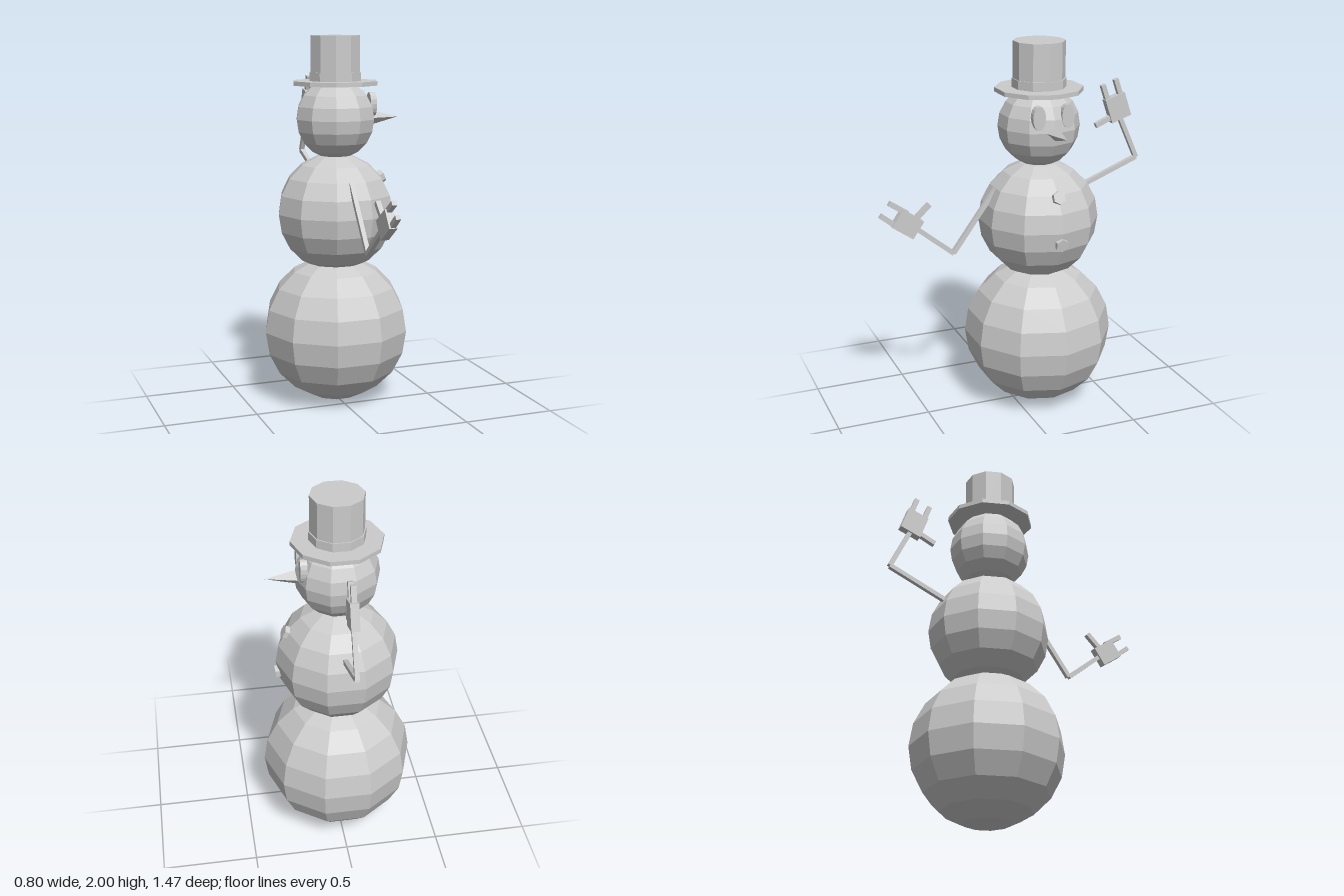
import * as THREE from 'three';

const BODY_Z = -0.145; // the body stands off-centre because the arms reach unevenly

export function createModel() {
  const root = new THREE.Group();
  root.name = 'snowman';
  const material = new THREE.MeshStandardMaterial({ color: 0xcccccc, flatShading: true });

  const add = (name, geometry, x, y, z, parent = root) => {
    const mesh = new THREE.Mesh(geometry, material);
    mesh.name = name;
    mesh.position.set(x, y, z);
    parent.add(mesh);
    return mesh;
  };

  // Snowballs
  add('lowerBody', new THREE.SphereGeometry(0.402, 10, 10), 0, 0.402, BODY_Z);
  add('upperBody', new THREE.SphereGeometry(0.322, 10, 10), 0, 1.05, BODY_Z);
  add('head', new THREE.SphereGeometry(0.217, 10, 10), 0, 1.557, BODY_Z);

  // Top hat: brim, band and crown
  const hatRing = (name, rTop, rBottom, y0, y1) =>
    add(name, new THREE.CylinderGeometry(rTop, rBottom, y1 - y0, 10).rotateY(Math.PI / 2), 0, (y0 + y1) / 2, BODY_Z);
  hatRing('hatBrim', 0.233, 0.233, 1.737, 1.76);
  hatRing('hatBand', 0.143, 0.143, 1.76, 1.806);
  hatRing('hatCrown', 0.137, 0.137, 1.76, 2);

  // Carrot nose pointing to +x
  add('nose', new THREE.ConeGeometry(0.043, 0.17, 4).rotateZ(-Math.PI / 2), 0.277, 1.557, BODY_Z);

  // Flat oval eyes
  for (const [name, side] of [['leftEye', -1], ['rightEye', 1]]) {
    const eye = new THREE.CylinderGeometry(1, 1, 0.035, 16).rotateZ(-Math.PI / 2).scale(1, 0.063, 0.035);
    add(name, eye, 0.18, 1.637, BODY_Z + side * 0.08);
  }

  // Hexagonal buttons lying on the chest
  for (const [name, x, y, tilt] of [['upperButton', 0.265, 1.23, 0.45], ['lowerButton', 0.31, 0.99, -0.16]]) {
    const button = new THREE.CylinderGeometry(0.036, 0.036, 0.03, 6).rotateY(Math.PI / 6).rotateZ(-Math.PI / 2);
    add(name, button, x, y, BODY_Z).rotation.z = tilt;
  }

  // Square bar between two [z, y] points in the plane x = 0
  const bar = (parent, name, a, b, width, thickness) => {
    const dz = b[0] - a[0], dy = b[1] - a[1];
    const geometry = new THREE.BoxGeometry(thickness, Math.hypot(dz, dy), width);
    const mesh = add(name, geometry, 0, (a[1] + b[1]) / 2, (a[0] + b[0]) / 2, parent);
    mesh.rotation.x = Math.atan2(dz, dy);
  };

  // Stick arms with block hands, two fingers and a thumb
  const arms = [
    {
      name: 'rightArm', shoulder: [0.1, 1.235], elbow: [0.34, 0.907], wrist: [0.532, 1.063], palmEnd: [0.643, 1.14],
      palmWidth: 0.107,
      fingers: [[[0.63, 1.083], [0.728, 1.161]], [[0.585, 1.157], [0.68, 1.222]]],
      thumb: [[0.56, 1.105], [0.466, 1.193]],
    },
    {
      name: 'leftArm', shoulder: [-0.37, 1.186], elbow: [-0.723, 1.325], wrist: [-0.622, 1.548], palmEnd: [-0.579, 1.675],
      palmWidth: 0.118,
      fingers: [[[-0.549, 1.635], [-0.513, 1.738]], [[-0.623, 1.66], [-0.587, 1.765]]],
      thumb: [[-0.58, 1.566], [-0.476, 1.521]],
    },
  ];
  for (const arm of arms) {
    const group = new THREE.Group();
    group.name = arm.name;
    root.add(group);
    bar(group, 'upperArm', arm.shoulder, arm.elbow, 0.024, 0.024);
    bar(group, 'forearm', arm.elbow, arm.wrist, 0.024, 0.024);
    bar(group, 'palm', arm.wrist, arm.palmEnd, arm.palmWidth, 0.043);
    arm.fingers.forEach(([a, b]) => bar(group, 'finger', a, b, 0.026, 0.026));
    bar(group, 'thumb', ...arm.thumb, 0.026, 0.026);
  }

  return root;
}
